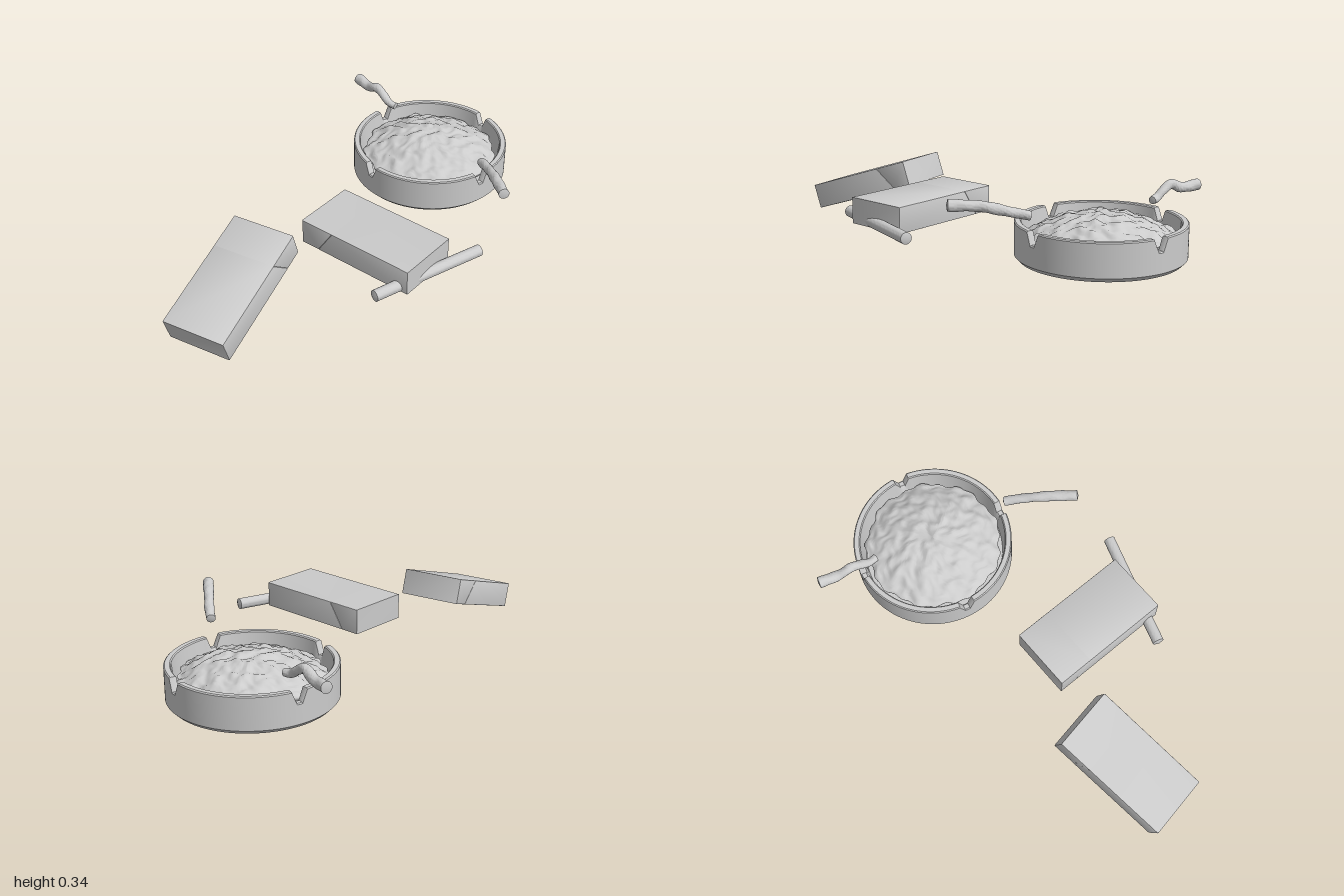
import * as THREE from 'three';
import { toCreasedNormals } from 'three/addons/utils/BufferGeometryUtils.js';

const material = new THREE.MeshStandardMaterial({ color: 0xcccccc, side: THREE.DoubleSide });

function addMesh(parent, name, geometry, crease = 0.6) {
  const mesh = new THREE.Mesh(toCreasedNormals(geometry, crease), material);
  mesh.name = name;
  parent.add(mesh);
  return mesh;
}

function moveVertices(geometry, rule) {
  const p = geometry.attributes.position;
  const v = new THREE.Vector3();
  for (let i = 0; i < p.count; i++) {
    rule(v.fromBufferAttribute(p, i), i);
    p.setXYZ(i, v.x, v.y, v.z);
  }
  return geometry;
}

// Round tray with four V notches cut into the rim on the diagonals
function createAshtray() {
  const tray = new THREE.Group();
  tray.name = 'ashtray';
  const profile = [
    [0, 0.01], [0.365, 0.01], [0.385, 0.03], [0.385, 0.18], [0.38, 0.185],
    [0.358, 0.185], [0.353, 0.18], [0.338, 0.05], [0, 0.05],
  ].map(([x, y]) => new THREE.Vector2(x, y));
  const bowl = moveVertices(new THREE.LatheGeometry(profile, 192), (v) => {
    if (v.y < 0.15) return;
    const quarter = Math.PI / 2;
    const angle = Math.atan2(v.z, v.x) + 2 * Math.PI;
    const off = Math.abs((angle % quarter) - quarter / 2);
    v.y -= 0.06 * THREE.MathUtils.clamp((0.1 - off) / 0.068, 0, 1);
  });
  addMesh(tray, 'bowl', bowl);

  // Lumpy heap of ash: flattened sphere with layered ripples
  const lumps = (x, z) =>
    Math.sin(31 * x + 2.2 * Math.sin(23 * z)) * Math.sin(29 * z + 2 * Math.sin(27 * x + 1)) * 0.008 +
    Math.sin(67 * x + 1.7 * Math.sin(51 * z + 2)) * Math.sin(71 * z + 1.5 * Math.sin(58 * x)) * 0.005;
  const ash = moveVertices(new THREE.SphereGeometry(1, 128, 80), (v) => {
    const a = Math.atan2(v.z, v.x);
    const r = 0.328 + 0.007 * Math.sin(9 * a) + 0.005 * Math.sin(23 * a + 1);
    const up = v.y;
    v.x *= r;
    v.z *= r;
    v.y = up > 0 ? 0.122 + 0.095 * up * up + lumps(v.x, v.z) * Math.min(1, up * 3) : 0.122 + 0.068 * up;
  });
  addMesh(tray, 'ashHeap', ash, 1.2);
  tray.position.set(0.31, 0, -0.56);
  return tray;
}

// Flip-top carton lying flat, lid towards +x, with a slanted seam
function createCarton(name) {
  const carton = new THREE.Group();
  carton.name = name;
  const half = 0.3, t = 0.0615, width = 0.31, b = 0.004;
  const seamTop = 0.125, seamBottom = 0.205;
  const parts = {
    cartonBody: [[-half, -t], [seamBottom, -t], [seamTop, t], [-half, t]],
    cartonLid: [[seamBottom, -t], [half, -t], [half, t], [seamTop, t]],
  };
  for (const [part, corners] of Object.entries(parts)) {
    const shape = new THREE.Shape(corners.map(([x, y]) => new THREE.Vector2(x, y)));
    const geometry = new THREE.ExtrudeGeometry(shape, {
      depth: width - 2 * b, bevelSize: b, bevelThickness: b, bevelOffset: -b, bevelSegments: 2,
    });
    geometry.translate(0, 0, -width / 2 + b);
    addMesh(carton, part, geometry);
  }
  carton.rotation.order = 'YZX';
  return carton;
}

// Closed, tapering tube along a path; wrinkle crumples the paper
function createStick(parent, name, points, r0, r1, wrinkle = 0) {
  const rings = 64, sides = 24;
  const curve = new THREE.CatmullRomCurve3(points.map((p) => new THREE.Vector3(...p)));
  const tube = new THREE.TubeGeometry(curve, rings, 1, sides);
  moveVertices(tube, (v, i) => {
    const ring = Math.floor(i / (sides + 1));
    const u = ring / rings;
    const side = ((i % (sides + 1)) / sides) * Math.PI * 2;
    let r = THREE.MathUtils.lerp(r0, r1, u);
    r *= 1 + wrinkle * Math.sin(u * 19) * Math.sin(2 * side + u * 7);
    if (ring === 0 || ring === rings) r = 0;
    const centre = curve.getPointAt(u);
    v.sub(centre).multiplyScalar(r).add(centre);
  });
  return addMesh(parent, name, tube, 0.7);
}

export function createModel() {
  const model = new THREE.Group();
  model.name = 'ashtraySet';
  model.add(createAshtray());

  const tilted = createCarton('tiltedCarton');
  tilted.position.set(-0.465, 0.153, 0.653);
  tilted.rotation.set(0, THREE.MathUtils.degToRad(68), THREE.MathUtils.degToRad(18));
  const flat = createCarton('flatCarton');
  flat.position.set(0.12, 0.178, 0.29);
  flat.rotation.y = THREE.MathUtils.degToRad(148);
  model.add(tilted, flat);

  // Whole cigarette and two crumpled butts
  createStick(model, 'cigarette', [[0.148, 0.138, 0.635], [0.373, 0.138, 0.442], [0.6, 0.138, 0.25]], 0.027, 0.027);
  createStick(model, 'frontButt',
    [[0.69, 0.316, 0.06], [0.645, 0.306, -0.08], [0.608, 0.278, -0.2], [0.575, 0.256, -0.285]], 0.026, 0.021, 0.08);
  createStick(model, 'backButt',
    [[-0.107, 0.27, -0.98], [-0.035, 0.268, -0.9], [0.008, 0.291, -0.855], [0.048, 0.268, -0.82],
      [0.078, 0.242, -0.795], [0.118, 0.234, -0.773]], 0.027, 0.018, 0.08);
  return model;
}
